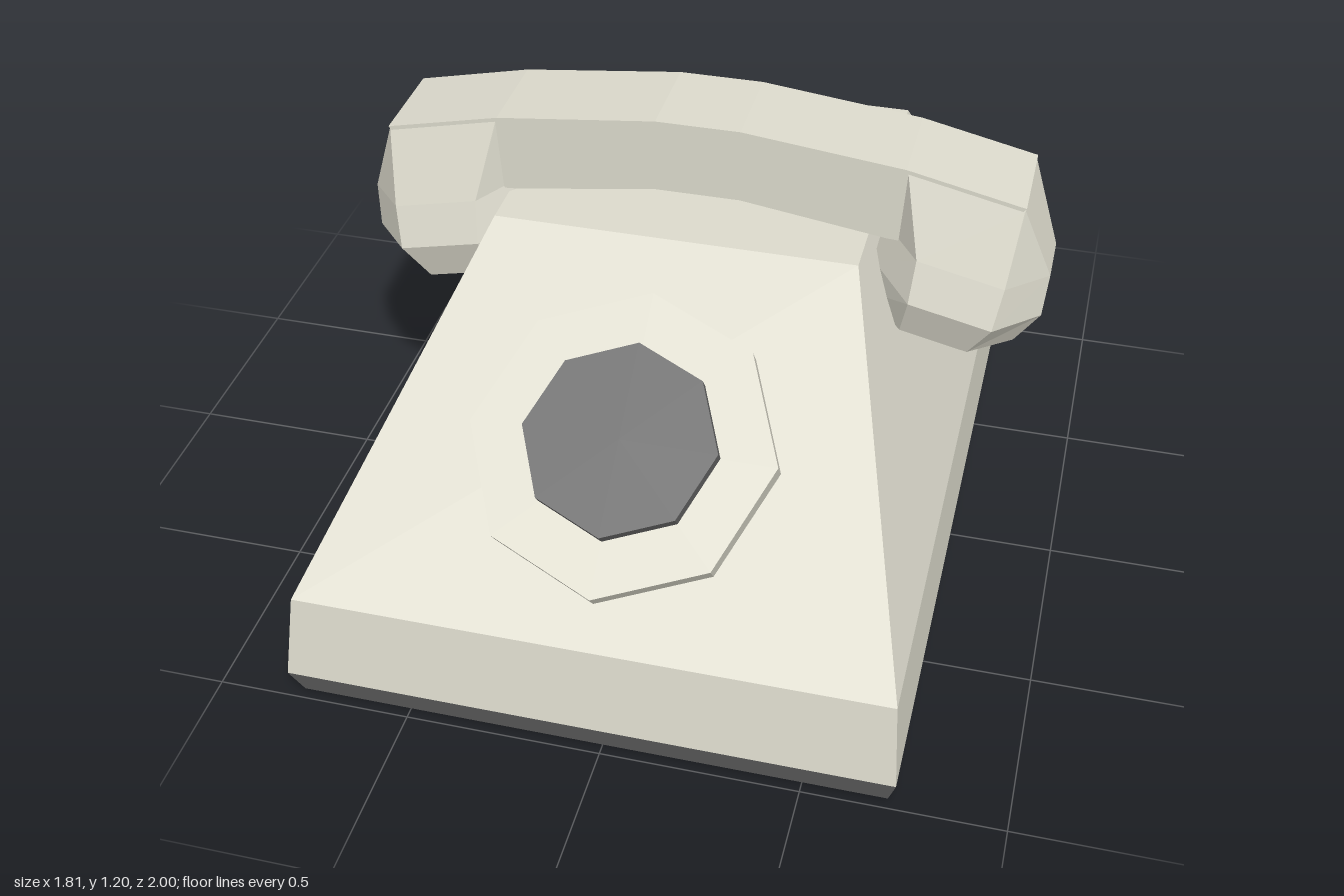
import * as THREE from 'three';

const shell = new THREE.MeshStandardMaterial({ color: 0xdddbcd, flatShading: true });
shell.name = 'ivory shell';
const dark = new THREE.MeshStandardMaterial({ color: 0x696969, flatShading: true });
dark.name = 'dark grey';

// Flat-faced mesh from convex polygons, corners counter-clockwise from outside
function polyMesh(name, faces, material) {
  const pos = [];
  for (const f of faces)
    for (let i = 1; i < f.length - 1; i++) pos.push(...f[0], ...f[i], ...f[i + 1]);
  const geo = new THREE.BufferGeometry();
  geo.setAttribute('position', new THREE.Float32BufferAttribute(pos, 3));
  geo.computeVertexNormals();
  const mesh = new THREE.Mesh(geo, material);
  mesh.name = name;
  return mesh;
}

// Side quads between two rings (counter-clockwise from above), lower then upper
function band(lo, up) {
  return lo.map((p, i) => {
    const j = (i + 1) % lo.length;
    return [p, lo[j], up[j], up[i]];
  });
}

const rect = (x0, x1, zBack, zFront, y) =>
  [[x0, y, zFront], [x1, y, zFront], [x1, y, zBack], [x0, y, zBack]];

// Body levels
const foot = rect(-0.785, 0.71, -0.97, 0.97, 0);
const rim = rect(-0.81, 0.73, -1, 1, 0.08);
const shoulder = rect(-0.785, 0.715, -0.97, 0.97, 0.31);
const top = rect(-0.51, 0.44, -0.68, 0.11, 0.93);

function makeBody() {
  const T = 0.93, S = 0.31, F = 0.567;          // top, shoulder, recess floor
  const a = -0.33, b = 0.29, n = -0.34, m = -0.85; // recess sides, front wall, back edge
  const faces = [...band(rim, shoulder)];
  const slopes = band(shoulder, top);
  faces.push(slopes[0], slopes[1], slopes[3]);
  // top around the recess
  faces.push(rect(-0.51, 0.44, n, 0.11, T), rect(-0.51, a, -0.68, n, T), rect(b, 0.44, -0.68, n, T));
  // rear slope around the recess
  faces.push(
    [[a, S, -0.97], [-0.785, S, -0.97], [-0.51, T, -0.68], [a, T, -0.68]],
    [[0.715, S, -0.97], [b, S, -0.97], [b, T, -0.68], [0.44, T, -0.68]],
    [[b, S, -0.97], [a, S, -0.97], [a, F, m], [b, F, m]]);
  // recess floor, front wall and sides
  faces.push(rect(a, b, m, n, F),
    [[b, F, n], [a, F, n], [a, T, n], [b, T, n]],
    [[a, F, n], [a, F, m], [a, T, -0.68], [a, T, n]],
    [[b, F, m], [b, F, n], [b, T, n], [b, T, -0.68]]);
  return polyMesh('body', faces, shell);
}

// Octagonal disc lying on the sloped front, given its outer face centre
function disc(name, radius, height, y, z, material) {
  const tilt = 0.652;
  const mesh = new THREE.Mesh(new THREE.CylinderGeometry(radius, radius, height, 8), material);
  mesh.name = name;
  mesh.rotation.x = tilt;
  mesh.position.set(-0.04, y - Math.cos(tilt) * height / 2, z - Math.sin(tilt) * height / 2);
  return mesh;
}

const handsetZ = -0.136;

// Tilted eight-sided cup lofted through rings; s mirrors it
function makeCup(name, s) {
  // centre x, centre y, half width, half depth, half flat in width, half flat in depth
  const rings = [
    [0.635, 0.695, 0.2, 0.195, 0.09, 0.08],
    [0.675, 0.8, 0.225, 0.233, 0.11, 0.095],
    [0.69, 0.91, 0.22, 0.2, 0.115, 0.075],
    [0.68, 1.11, 0.152, 0.13, 0.15, 0.128],
  ].map(([cx, cy, hu, hz, fu, fz]) =>
    [[hu, fz], [hu, -fz], [fu, -hz], [-fu, -hz], [-hu, -fz], [-hu, fz], [-fu, hz], [fu, hz]]
      .map(([u, z]) => [s * cx + 0.975 * u, cy - s * 0.22 * u, handsetZ + z]));
  const faces = [[...rings[0]].reverse(), rings[3]];
  for (let i = 0; i < 3; i++) faces.push(...band(rings[i], rings[i + 1]));
  return polyMesh(name, faces, shell);
}

function makeHandle() {
  const half = [[0.11, 1], [0.49, 0.945], [0.72, 0.93], [0.83, 1.085], [0.53, 1.152], [0.11, 1.2]];
  const outline = [...half, ...half.map(([x, y]) => [-x, y]).reverse()];
  const shape = new THREE.Shape(outline.map(([x, y]) => new THREE.Vector2(x, y)));
  const geo = new THREE.ExtrudeGeometry(shape, { depth: 0.262, bevelEnabled: false });
  geo.translate(0, 0, handsetZ - 0.131);
  const mesh = new THREE.Mesh(geo, shell);
  mesh.name = 'handle';
  return mesh;
}

export function createModel() {
  const model = new THREE.Group();
  model.name = 'telephone';

  const handset = new THREE.Group();
  handset.name = 'handset';
  handset.add(makeHandle(), makeCup('leftCup', 1), makeCup('rightCup', -1));

  model.add(
    polyMesh('base', [...band(foot, rim), [...foot].reverse()], dark),
    makeBody(),
    disc('dial', 0.387, 0.08, 0.653, 0.597, shell),
    disc('dialCentre', 0.245, 0.05, 0.685, 0.62, dark),
    handset);
  return model;
}
